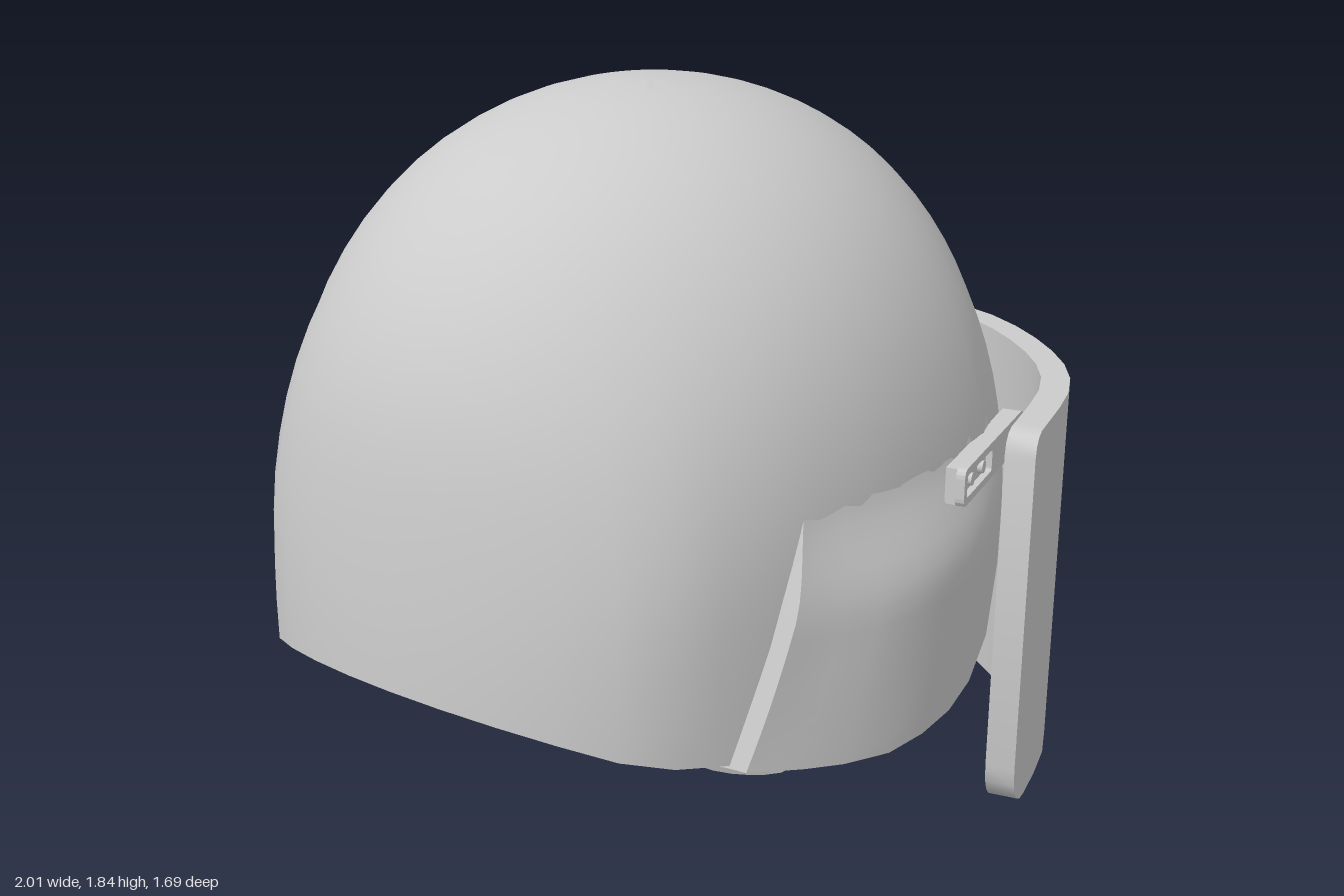
import * as THREE from 'three';
import { toCreasedNormals } from 'three/addons/utils/BufferGeometryUtils.js';

const V = (x, y, z) => new THREE.Vector3(x, y, z);
const { lerp, clamp, smoothstep: smooth } = THREE.MathUtils;
const grey = new THREE.MeshStandardMaterial({ color: 0xcccccc, side: THREE.DoubleSide });

function add(parent, name, geometry) {
  const mesh = new THREE.Mesh(geometry, grey);
  mesh.name = name;
  parent.add(mesh);
  return mesh;
}

// Skin a list of cross-sections; optionally close either direction or cap the ends
function loft(sections, { closeU = false, closeV = false, caps = false, crease = 0.6 } = {}) {
  const n = sections.length, m = sections[0].length, out = [];
  const tri = (...pts) => pts.forEach((p) => out.push(p.x, p.y, p.z));
  for (let i = 0; i < (closeU ? n : n - 1); i++) {
    const s = sections[i], t = sections[(i + 1) % n];
    for (let j = 0; j < (closeV ? m : m - 1); j++) {
      const k = (j + 1) % m;
      tri(s[j], t[j], t[k]);
      tri(s[j], t[k], s[k]);
    }
  }
  if (caps) {
    const s = sections[0], e = sections[n - 1];
    for (let j = 1; j < m - 1; j++) {
      tri(s[0], s[j], s[j + 1]);
      tri(e[0], e[j + 1], e[j]);
    }
  }
  const g = new THREE.BufferGeometry();
  g.setAttribute('position', new THREE.Float32BufferAttribute(out, 3));
  return toCreasedNormals(g, crease);
}

// Helmet form: a rounded dome over an upright wall, blunt at the back
const CX = -0.14, CZ = -0.015, A = 0.87, TOP = 1.84, BASE = 0.9;
// Rim height against x
const RIM = [[-1.01, 0.71], [-0.85, 0.63], [-0.7, 0.6], [-0.5, 0.56], [-0.33, 0.545], [-0.15, 0.56],
  [0, 0.59], [0.1, 0.67], [0.2, 0.8], [0.32, 0.95], [0.45, 1.04], [0.6, 1.08], [0.73, 1.1]];
// Half width of the plan, as a factor on a circle, from back (-1) to front (1)
const WIDTH = [[-1, 0.88], [-0.94, 0.9], [-0.8, 0.88], [-0.64, 0.795], [-0.41, 0.755], [-0.1, 0.752],
  [0.1, 0.765], [0.33, 0.795], [0.57, 0.805], [0.74, 0.78], [0.9, 0.757], [1, 0.75]];

function sample(table, x) {
  let i = 0;
  while (i < table.length - 2 && x > table[i + 1][0]) i++;
  const [[x0, y0], [x1, y1]] = [table[i], table[i + 1]];
  return lerp(y0, y1, clamp((x - x0) / (x1 - x0), 0, 1));
}

// The plan turns into a plain ellipse towards the crown
const halfWidth = (c, y) => lerp(sample(WIDTH, c), 0.76, smooth(y, 0.85, 1.55));

// Shrink of length and width with height; the back also leans inwards
function spread(y, inset, back) {
  const h = clamp((y - BASE) / (TOP - inset - BASE), 0, 1);
  const lean = back ? 1 - 0.03 * smooth(y, 0.7, 1.15) : 1;
  return [lean * Math.sqrt(1 - h ** 2.5), Math.sqrt(1 - h ** 2.35)];
}

function shell(outer, inner, lift) {
  const sections = [], N = 44, M = 20;
  for (let i = 0; i < N; i++) {
    const a = (i / N) * Math.PI * 2, c = Math.cos(a), s = Math.sin(a);
    const rim = sample(RIM, CX + A * c) + lift;
    const point = (k, inset) => {
      const y = rim + (TOP - inset - rim) * Math.cos((k / M) * Math.PI / 2);
      const [sx, sz] = spread(y, inset, c < 0);
      return V(CX + (A - inset) * sx * c, y, CZ + (halfWidth(c, y) - inset) * sz * s);
    };
    const row = [];
    for (let k = 0; k <= M; k++) row.push(point(k, outer));
    for (let k = M; k >= 0; k--) row.push(point(k, inner));
    sections.push(row);
  }
  return loft(sections, { closeU: true, crease: 0.9 });
}

// Raised ear guard lying over the side of the shell
function earGuard(side) {
  const fs = [0, 0.015, 0.06, 0.12, 0.2, 0.3, 0.4, 0.5, 0.6, 0.7, 0.8, 0.9, 1];
  const M = 14, sections = [];
  for (const f of fs) {
    const row = [];
    for (let k = 0; k <= M + 1; k++) {
      const g = Math.min(k / M, 1), yb = 1.12 - 0.52 * g;
      const x = lerp(-0.7 + 0.35 * (yb - 0.6), 0.4, f);
      const y = lerp(1.13, sample(RIM, x) - 0.006, g);
      const [sx, sz] = spread(y, 0, x < CX);
      const c = clamp((x - CX) / (A * sx), -1, 1);
      const z = halfWidth(c, y) * sz * Math.sqrt(1 - c * c);
      const rise = 0.078 * smooth(g, 0, 0.45) * lerp(0.5, 1, smooth(f, 0, 0.3)) * (1 - smooth(f, 0.35, 1)) - 0.006;
      row.push(V(x, y, CZ + side * (z + (f === 0 || k > M ? -0.03 : rise))));
    }
    sections.push(row);
  }
  if (side > 0) sections.reverse();
  return loft(sections, { crease: 0.8 });
}

// Wraparound visor with rounded corners
function visor() {
  const pts = [[0.21, -0.845], [0.43, -0.76], [0.635, -0.64], [0.78, -0.505], [0.88, -0.36], [0.96, -0.18], [1, 0.01],
    [0.955, 0.25], [0.88, 0.4], [0.77, 0.54], [0.64, 0.66], [0.48, 0.75], [0.12, 0.842]];
  const curve = new THREE.CatmullRomCurve3(pts.map(([x, z]) => V(x, 0, z)));
  const len = curve.getLength();
  const ends = [0, 0.008, 0.025, 0.05, 0.08, 0.12];
  const us = ends.map((e) => e / len);
  for (let i = 2; i < 22; i++) us.push(i / 23);
  us.push(...ends.map((e) => 1 - e / len).reverse());
  us.sort((a, b) => a - b);
  const round = (e, r) => (e < r ? r - Math.sqrt(r * r - (r - e) ** 2) : 0);
  const sections = us.map((u) => {
    const p = curve.getPointAt(u), t = curve.getTangentAt(u);
    const q = p.clone().addScaledVector(V(-t.z, 0, t.x), 0.068);
    const e = Math.max(0, Math.min(u, 1 - u) * len);
    const top = 1.108 - round(e, 0.05), low = 0.17 + round(e, 0.12);
    return [V(p.x, top, p.z), V(p.x, low, p.z), V(q.x, low, q.z), V(q.x, top, q.z)];
  });
  return loft(sections, { closeV: true, caps: true });
}

// Slotted hinge arm with two screws; the slot sits at the rear end
function hingeArm(side) {
  const arm = new THREE.Group();
  const outline = (x0, x1, y, r) => {
    const p = new THREE.Shape();
    p.moveTo(x0 + r, -y).lineTo(x1 - r, -y).quadraticCurveTo(x1, -y, x1, -y + r);
    p.lineTo(x1, y - r).quadraticCurveTo(x1, y, x1 - r, y).lineTo(x0 + r, y);
    p.quadraticCurveTo(x0, y, x0, y - r).lineTo(x0, -y + r).quadraticCurveTo(x0, -y, x0 + r, -y);
    return p;
  };
  const rear = -side;
  const span = (a, b) => [Math.min(rear * a, rear * b), Math.max(rear * a, rear * b)];
  const face = outline(...span(-0.22, 0.22), 0.042, 0.02);
  face.holes.push(outline(...span(0.02, 0.2), 0.025, 0.008));
  add(arm, 'hingeFace', new THREE.ExtrudeGeometry(face, { depth: 0.02, bevelEnabled: false, curveSegments: 4 }));
  const back = add(arm, 'hingeBack', new THREE.BoxGeometry(0.42, 0.08, 0.03));
  back.position.z = -0.01;
  for (const x of [0.07, 0.15]) {
    const screw = add(arm, 'hingeScrew', new THREE.CylinderGeometry(0.014, 0.014, 0.014, 12));
    screw.rotation.x = Math.PI / 2;
    screw.position.set(rear * x, 0, 0.01);
  }
  return arm;
}

export function createModel() {
  const model = new THREE.Group();
  model.name = 'visoredHelmet';
  add(model, 'helmetShell', shell(0, 0.04, 0));
  add(model, 'liner', shell(0.05, 0.12, 0.02));
  for (const side of [1, -1]) {
    add(model, side > 0 ? 'leftEarGuard' : 'rightEarGuard', earGuard(side));
    const arm = hingeArm(side);
    arm.name = side > 0 ? 'leftHingeArm' : 'rightHingeArm';
    arm.position.set(side > 0 ? 0.075 : 0.155, 1.06, side > 0 ? 0.745 : -0.765);
    arm.rotation.y = side > 0 ? 0.19 : Math.PI - 0.25;
    model.add(arm);
  }
  add(model, 'visor', visor());

  // Chin strap: a flat ribbon hanging from ear to ear, broader under the chin
  const path = new THREE.CatmullRomCurve3([V(-0.02, 0.68, 0.66), V(0.05, 0.45, 0.54), V(0.12, 0.24, 0.36),
    V(0.18, 0.09, 0.15), V(0.2, 0.035, -0.08), V(0.165, 0.11, -0.22), V(0.11, 0.24, -0.42),
    V(0.05, 0.45, -0.57), V(-0.02, 0.68, -0.68)]);
  const frame = (u) => {
    const t = path.getTangentAt(u), w = V(1, 0.4, 0);
    w.addScaledVector(t, -w.dot(t)).normalize();
    return { p: path.getPointAt(u), t, w, n: t.clone().cross(w) };
  };
  const ribbon = [];
  for (let i = 0; i <= 32; i++) {
    const { p, w, n } = frame(i / 32);
    const half = p.y < 0.13 ? 0.075 : 0.062;
    ribbon.push([[-1, 1], [1, 1], [1, -1], [-1, -1]].map(([a, b]) =>
      p.clone().addScaledVector(w, a * half).addScaledVector(n, b * 0.01)));
  }
  add(model, 'chinStrap', loft(ribbon, { closeV: true, caps: true }));

  // Side-release buckle, aligned to the ribbon
  const { p, t, w, n } = frame(0.64);
  const buckle = new THREE.Group();
  buckle.name = 'buckle';
  buckle.quaternion.setFromRotationMatrix(new THREE.Matrix4().makeBasis(w, n, t));
  buckle.position.copy(p);
  for (const [x, z, sx, sy, sz] of [[0, -0.06, 0.16, 0.04, 0.09], [0, 0.03, 0.08, 0.034, 0.1],
    [-0.062, 0.03, 0.03, 0.038, 0.09], [0.062, 0.03, 0.03, 0.038, 0.09], [0, 0.09, 0.16, 0.04, 0.035]]) {
    add(buckle, 'bucklePart', new THREE.BoxGeometry(sx, sy, sz)).position.set(x, 0, z);
  }
  model.add(buckle);
  return model;
}
